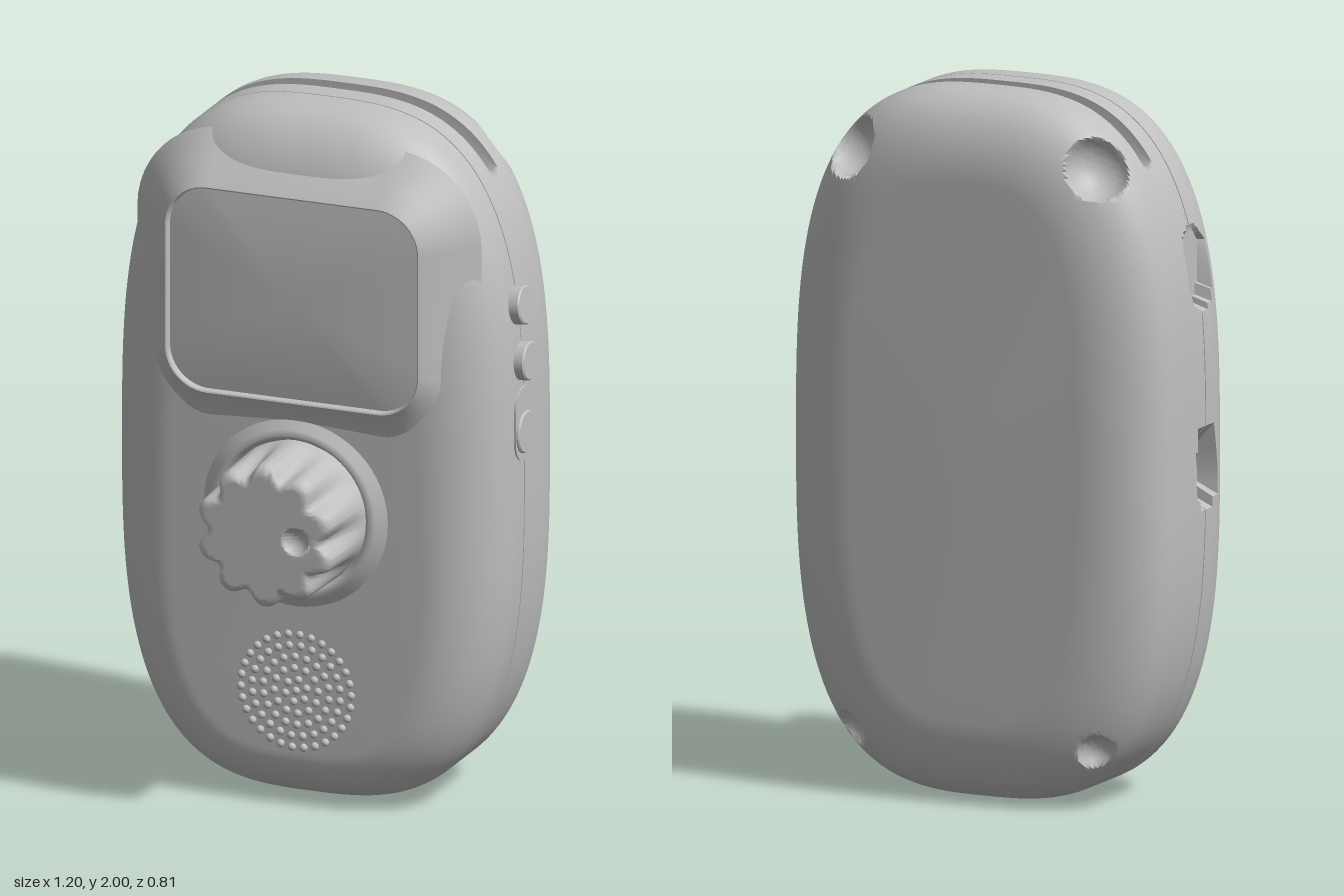
import * as THREE from 'three';
import { toCreasedNormals } from 'three/addons/utils/BufferGeometryUtils.js';

const CX = -0.015; // centre line of the case
const V = (x, y, z) => new THREE.Vector3(x, y, z);

// Skin over closed rings ordered back to front, each counter-clockwise from +z
function loft(rings, crease = 0.6) {
  const n = rings[0].length, pos = [], idx = [];
  rings.forEach(r => r.forEach(p => pos.push(p.x, p.y, p.z)));
  for (let i = 0; i < rings.length - 1; i++) {
    for (let j = 0; j < n; j++) {
      const k = (j + 1) % n, a = i * n + j, b = i * n + k, c = a + n, d = b + n;
      idx.push(a, b, d, a, d, c);
    }
  }
  const g = new THREE.BufferGeometry();
  g.setAttribute('position', new THREE.Float32BufferAttribute(pos, 3));
  g.setIndex(idx);
  return toCreasedNormals(g, crease);
}

// Push a point lying inside a ball along dir onto its far wall
function scoop(p, c, r, dir) {
  const q = p.clone().sub(c);
  if (q.length() >= r) return;
  q.addScaledVector(dir, -q.dot(dir));
  p.copy(c).add(q).addScaledVector(dir, Math.sqrt(r * r - q.lengthSq()));
}

// Case outline: superellipse with inset d (larger at the top by lean) and scale s
function outline(d, z, { s = 1, maxY = 9, lean = 0 } = {}) {
  const ring = [], n = 360, e = 2 / 3;
  for (let j = 0; j < n; j++) {
    const t = (j / n) * Math.PI * 2, c = Math.cos(t), m = Math.sin(t);
    const inset = d * (1 + lean * m);
    const x = Math.sign(c) * Math.abs(c) ** e * (0.585 - inset) * s;
    const y = 1 + Math.sign(m) * Math.abs(m) ** e * (1 - inset) * s;
    ring.push(V(CX + x, Math.min(y, maxY), z));
  }
  return ring;
}

function caseGeometry() {
  const rings = [];
  // back face and its rounded edge
  [0.001, 0.3, 0.6, 0.8, 0.9].forEach(s => rings.push(outline(0.24, -0.405 + 0.005 * s, { s })));
  for (let i = 0; i < 36; i++) {
    const t = (1 - i / 36) * Math.PI / 2;
    rings.push(outline(0.24 * (1 - Math.cos(t)), -0.2 - 0.2 * Math.sin(t) ** 0.75));
  }
  // strap slot across the top, with a rounded floor
  rings.push(outline(0, -0.195));
  [[-0.195, 1.815], [-0.185, 1.8], [-0.168, 1.795], [-0.15, 1.8], [-0.14, 1.815]]
    .forEach(([z, maxY]) => rings.push(outline(0, z, { maxY })));
  rings.push(outline(0, -0.14));
  // side wall with the seam between the two shells
  for (let z = -0.132; z < -0.08; z += 0.007) rings.push(outline(0, z));
  rings.push(outline(0, -0.073), outline(0.006, -0.072), outline(0.006, -0.069), outline(0, -0.068));
  for (let z = -0.062; z < -0.025; z += 0.007) rings.push(outline(0, z));
  // rounded front edge, softer towards the top, and front face
  const lean = 0.28;
  for (let i = 0; i <= 20; i++) {
    const t = (i / 20) * Math.PI / 2;
    rings.push(outline(0.22 * (1 - Math.cos(t)), -0.02 + 0.187 * Math.sin(t), { lean }));
  }
  [0.8, 0.5, 0.25, 0.001].forEach(s => rings.push(outline(0.22, 0.172 - 0.005 * s, { s, lean })));

  // screw scoops in the four back corners
  for (const sx of [-1, 1]) {
    for (const [y, z, r, sy] of [[1.83, -0.345, 0.095, 1], [0.165, -0.352, 0.06, -1]]) {
      const c = V(CX + sx * 0.39, y, z), dir = V(-sx * 0.35, -sy * 0.35, 0.87).normalize();
      rings.flat().forEach(p => scoop(p, c, r, dir));
    }
  }
  // port recesses in the right side
  for (const [lo, hi] of [[1.46, 1.56], [0.91, 0.96]]) {
    rings.flat().forEach(p => {
      const dy = p.y - THREE.MathUtils.clamp(p.y, lo, hi);
      if (p.x < -0.45 && Math.hypot(dy, p.z + 0.065) < 0.062) p.x = Math.max(p.x, -0.54);
    });
  }
  return loft(rings);
}

// Rounded rectangle around the screen; off(n) gives [offset, z] for edge normal n
function screenRing(off, s = 1) {
  const ring = [], w = 0.375, h = 0.295, r = 0.12;
  [[1, 1], [-1, 1], [-1, -1], [1, -1]].forEach(([sx, sy], q) => {
    for (let i = 0; i <= 12; i++) {
      const t = (q + i / 12) * Math.PI / 2, nx = Math.cos(t), ny = Math.sin(t);
      const [o, z] = off(ny);
      ring.push(V(CX + (sx * (w - r) + nx * (r + o)) * s, 1.485 + (sy * (h - r) + ny * (r + o)) * s, z));
    }
  });
  return ring;
}

function knobGeometry() {
  const rings = [], n = 200;
  const ring = (R, z, f, s = 1) => {
    const pts = [];
    for (let j = 0; j < n; j++) {
      const t = (j / n) * Math.PI * 2;
      const r = (R - 0.034 * f * (0.5 + 0.5 * Math.cos(10 * t)) ** 1.5) * s;
      pts.push(V(CX + r * Math.cos(t), 0.86 + r * Math.sin(t), z));
    }
    rings.push(pts);
  };
  // fluted wall: grooves deepen towards the front
  for (let i = 0; i <= 6; i++) ring(0.213 - 0.005 * i / 6, 0.15 + 0.22 * i / 6, i / 6);
  ring(0.205, 0.39, 1);
  ring(0.197, 0.403, 1);
  ring(0.182, 0.41, 0.9);
  for (let i = 1; i <= 36; i++) ring(0.182, 0.41, 0.9, Math.max(0.001, 1 - i / 36));
  // finger dimple
  rings.flat().forEach(p => scoop(p, V(0.083, 0.86, 0.43), 0.045, V(0, 0, -1)));
  return loft(rings, 0.75);
}

export function createModel() {
  const model = new THREE.Group();
  const grey = new THREE.MeshStandardMaterial({ color: 0xbfbfbf });
  grey.name = 'grey plastic';
  const add = (name, geo, parent = model) => {
    const m = new THREE.Mesh(geo, grey);
    m.name = name;
    parent.add(m);
    return m;
  };

  add('case', caseGeometry());

  // sloped bezel and the slightly domed screen sunk in it
  const low = ny => Math.max(0, -ny); // the slope is gentler below the screen
  add('screenBezel', loft([
    screenRing(ny => [0.14, 0.07 + 0.085 * low(ny)]),
    screenRing(ny => [0.06, 0.147 + 0.025 * low(ny)]),
    screenRing(() => [0.012, 0.194]),
    screenRing(() => [0.004, 0.2]),
    screenRing(() => [0, 0.198]),
    screenRing(() => [-0.003, 0.174]),
  ]));
  add('screen', loft([1, 0.85, 0.7, 0.5, 0.3, 0.001].map(s => screenRing(() => [0, 0.198 - 0.02 * s * s], s))));

  // knob with a raised collar
  const collar = add('knobCollar', new THREE.LatheGeometry(
    [[0.29, 0.16], [0.265, 0.174], [0.245, 0.19], [0.23, 0.196], [0.222, 0.19], [0.21, 0.17]]
      .map(p => new THREE.Vector2(...p)), 64));
  collar.rotation.x = Math.PI / 2;
  collar.position.set(CX, 0.86, 0);
  add('knob', knobGeometry());

  // speaker: concentric rings of small studs
  const speaker = new THREE.Group();
  speaker.name = 'speaker';
  model.add(speaker);
  const stud = new THREE.SphereGeometry(0.012, 10, 8);
  for (let k = 0; k <= 5; k++) {
    const count = Math.max(1, 6 * k);
    for (let i = 0; i < count; i++) {
      const t = (i / count) * Math.PI * 2 + k * 0.3;
      add('speakerStud', stud, speaker)
        .position.set(CX + 0.033 * k * Math.cos(t), 0.34 + 0.033 * k * Math.sin(t), 0.168);
    }
  }

  // round push buttons on the left side, tilted with the case
  const button = (name, y, r, out, tilt) => {
    const pts = [[r, -0.06], [r, -0.004], [r - 0.004, 0], [0.001, 0]]
      .map(p => new THREE.Vector2(...p));
    const m = add(name, toCreasedNormals(new THREE.LatheGeometry(pts, 32), 0.6));
    m.rotation.z = -Math.PI / 2 + tilt;
    m.position.set(out, y, -0.062);
  };
  button('upperButton', 1.47, 0.055, 0.58, 0.12);
  button('lowerButton', 1.308, 0.055, 0.593, 0.04);
  button('sliderButton', 1.1, 0.06, 0.582, 0);

  // oblong slider track
  const track = new THREE.Shape();
  track.absarc(0, 0.045, 0.063, 0, Math.PI);
  track.absarc(0, -0.045, 0.063, Math.PI, Math.PI * 2);
  const slider = add('sliderTrack', new THREE.ExtrudeGeometry(track, { depth: 0.04, bevelEnabled: false, curveSegments: 16 }));
  slider.rotation.y = Math.PI / 2;
  slider.position.set(0.534, 1.125, -0.062);

  return model;
}
